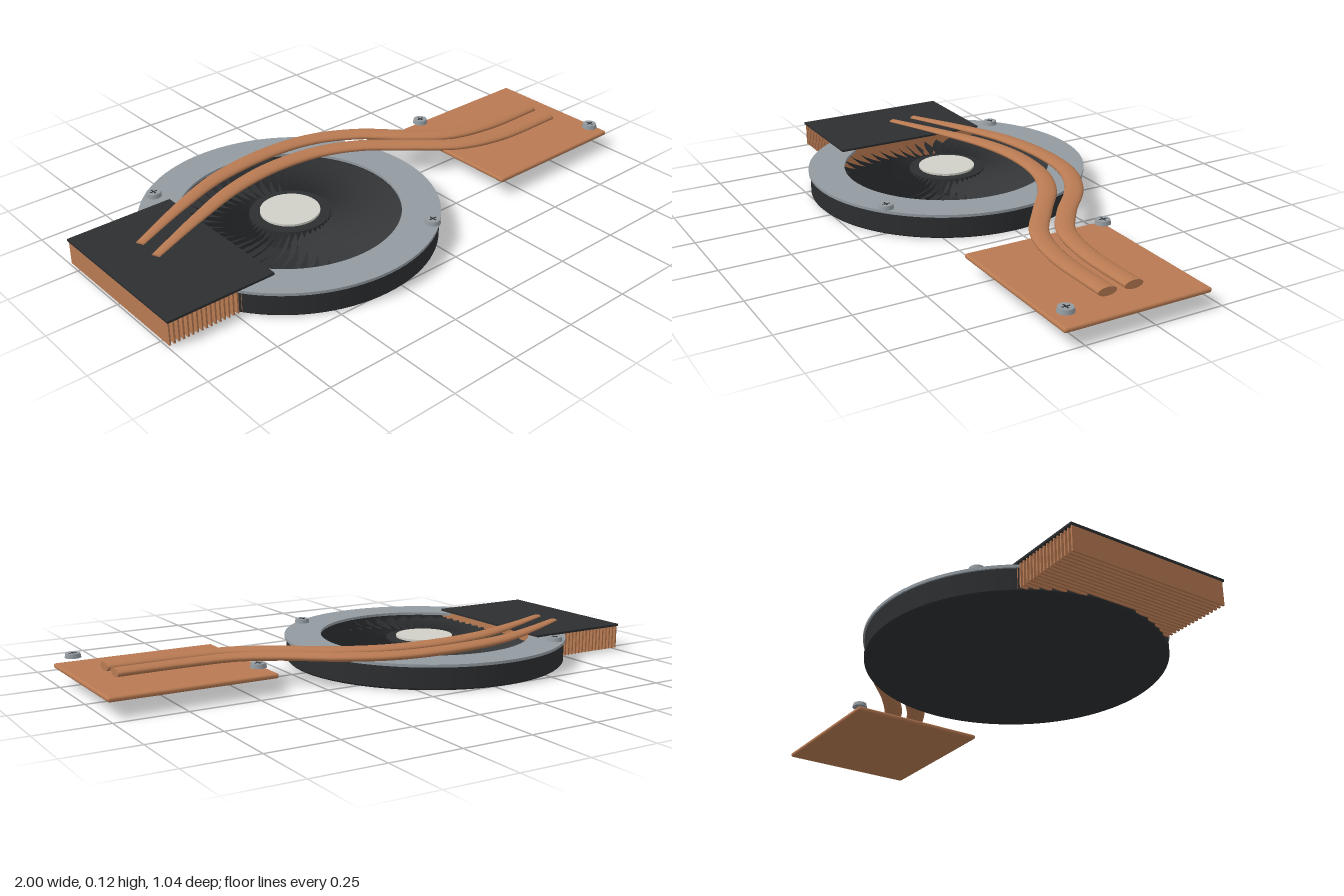
import * as THREE from 'three';
import { RoundedBoxGeometry } from 'three/addons/geometries/RoundedBoxGeometry.js';

const mat = (color, side = THREE.FrontSide) => new THREE.MeshStandardMaterial({ color, side });
const copper = mat(0xb87a52), dark = mat(0x2c2e30), steel = mat(0x929aa0), pale = mat(0xd0d0c8);
const bladeMat = mat(0x333537, THREE.DoubleSide);
const FAN_X = -0.31;

function add(parent, name, geometry, material, x = 0, y = 0, z = 0) {
  const mesh = new THREE.Mesh(geometry, material);
  mesh.name = name;
  mesh.position.set(x, y, z);
  parent.add(mesh);
  return mesh;
}

// Lathe with hard corners: each profile edge becomes its own band
function hardLathe(parent, name, profile, material) {
  const group = new THREE.Group();
  group.name = name;
  for (let i = 0; i < profile.length - 1; i++) {
    const pts = [profile[i], profile[i + 1]].map(([r, y]) => new THREE.Vector2(r, y));
    add(group, name + 'Band', new THREE.LatheGeometry(pts, 96), material);
  }
  parent.add(group);
}

// Flattened pipe: elliptical sections swept along a curve, tapering at the start
function pipeGeometry(points) {
  const curve = new THREE.CatmullRomCurve3(points.map(p => new THREE.Vector3(...p)));
  const rings = 90, sides = 20, pos = [], index = [];
  const up = new THREE.Vector3(0, 1, 0);
  for (let i = 0; i <= rings; i++) {
    const t = i / rings, c = curve.getPointAt(t), tan = curve.getTangentAt(t);
    const across = new THREE.Vector3().crossVectors(up, tan).normalize();
    const grow = THREE.MathUtils.smoothstep(t, -0.15, 0.38);
    const w = 0.011 + 0.023 * grow, h = 0.004 + 0.0105 * grow;
    for (let j = 0; j < sides; j++) {
      const a = (j / sides) * Math.PI * 2;
      const p = c.clone().addScaledVector(across, Math.cos(a) * w).addScaledVector(up, Math.sin(a) * h);
      pos.push(p.x, p.y, p.z);
      if (i < rings) {
        const k = i * sides + j, n = i * sides + (j + 1) % sides;
        index.push(k, n, k + sides, n, n + sides, k + sides);
      }
    }
  }
  // End caps with their own corners
  for (const ring of [0, rings]) {
    const base = pos.length / 3;
    for (let j = 0; j < sides; j++) pos.push(...pos.slice((ring * sides + j) * 3, (ring * sides + j) * 3 + 3));
    for (let j = 1; j < sides - 1; j++) {
      index.push(base, ...(ring ? [base + j, base + j + 1] : [base + j + 1, base + j]));
    }
  }
  const g = new THREE.BufferGeometry();
  g.setAttribute('position', new THREE.Float32BufferAttribute(pos, 3));
  g.setIndex(index);
  g.computeVertexNormals();
  return g;
}

// Leaning, swept fan blade as a thin sheet
function bladeGeometry() {
  const g = new THREE.PlaneGeometry(1, 1, 8, 2), p = g.attributes.position;
  for (let i = 0; i < p.count; i++) {
    const u = p.getX(i) + 0.5, v = p.getY(i) + 0.5;
    const r = 0.13 + u * 0.27;
    const a = 0.3 * u * u + (1 - v) * 0.125;
    p.setXYZ(i, Math.cos(a) * r, 0.035 + v * 0.037, Math.sin(a) * r);
  }
  g.computeVertexNormals();
  return g;
}

function makeFan() {
  const fan = new THREE.Group();
  fan.name = 'fan';
  fan.position.x = FAN_X;
  // Open-topped round housing
  hardLathe(fan, 'housing', [
    [0, 0], [0.507, 0], [0.513, 0.006], [0.513, 0.08],
    [0.495, 0.08], [0.495, 0.014], [0, 0.014],
  ], dark);
  // Flat ring on top of the housing
  hardLathe(fan, 'coverRing', [
    [0.385, 0.08], [0.519, 0.08], [0.519, 0.09], [0.385, 0.09], [0.385, 0.08],
  ], steel);
  // Rotor
  add(fan, 'hub', new THREE.CylinderGeometry(0.14, 0.15, 0.06, 64), dark, 0, 0.044);
  add(fan, 'hubCap', new THREE.CylinderGeometry(0.104, 0.104, 0.008, 64), pale, 0, 0.078);
  const blade = bladeGeometry(), count = 45;
  for (let i = 0; i < count; i++) {
    add(fan, 'blade', blade, bladeMat).rotation.y = (i / count) * Math.PI * 2;
  }
  return fan;
}

function makeFinStack() {
  const stack = new THREE.Group();
  stack.name = 'finStack';
  add(stack, 'finCover', new THREE.BoxGeometry(0.396, 0.008, 0.6), dark, -0.802, 0.096, 0);
  const fin = new THREE.BoxGeometry(0.006, 0.085, 0.59), count = 24;
  for (let i = 0; i < count; i++) {
    add(stack, 'fin', fin, copper, -0.994 + (i * 0.383) / (count - 1), 0.0495, 0);
  }
  return stack;
}

function makeScrew(x, z) {
  const screw = new THREE.Group();
  screw.name = 'screw';
  screw.position.set(x, 0.091, z);
  add(screw, 'screwHead', new THREE.CylinderGeometry(0.025, 0.028, 0.015, 28), steel, 0, 0.0075);
  for (const turn of [0, Math.PI / 2]) {
    add(screw, 'crossSlot', new THREE.BoxGeometry(0.028, 0.001, 0.005), dark, 0, 0.0152).rotation.y = turn;
  }
  return screw;
}

export function createModel() {
  const model = new THREE.Group();
  model.name = 'laptopCooler';
  model.add(makeFan(), makeFinStack());

  // Contact plate
  add(model, 'contactPlate', new RoundedBoxGeometry(0.587, 0.017, 0.53, 3, 0.008), copper, 0.704, 0.061, 0.055);

  // Heat pipes
  add(model, 'outerHeatPipe', pipeGeometry([
    [-0.835, 0.101, -0.118], [-0.6, 0.102, -0.232], [-0.4, 0.104, -0.308], [-0.15, 0.106, -0.34],
    [0.04, 0.106, -0.318], [0.2, 0.105, -0.24], [0.35, 0.101, -0.11], [0.48, 0.096, -0.025],
    [0.65, 0.091, 0.006], [0.895, 0.09, 0.007],
  ]), copper);
  add(model, 'innerHeatPipe', pipeGeometry([
    [-0.835, 0.101, -0.023], [-0.6, 0.102, -0.13], [-0.4, 0.104, -0.207], [-0.2, 0.106, -0.24],
    [0, 0.106, -0.222], [0.15, 0.105, -0.16], [0.3, 0.102, -0.045], [0.45, 0.097, 0.06],
    [0.62, 0.091, 0.1], [0.895, 0.09, 0.103],
  ]), copper);

  // Screws on the ring and above the contact plate
  for (const [x, z] of [[-0.624, -0.37], [-0.01, 0.395], [0.47, -0.176], [0.94, 0.28]]) {
    model.add(makeScrew(x, z));
  }
  return model;
}
